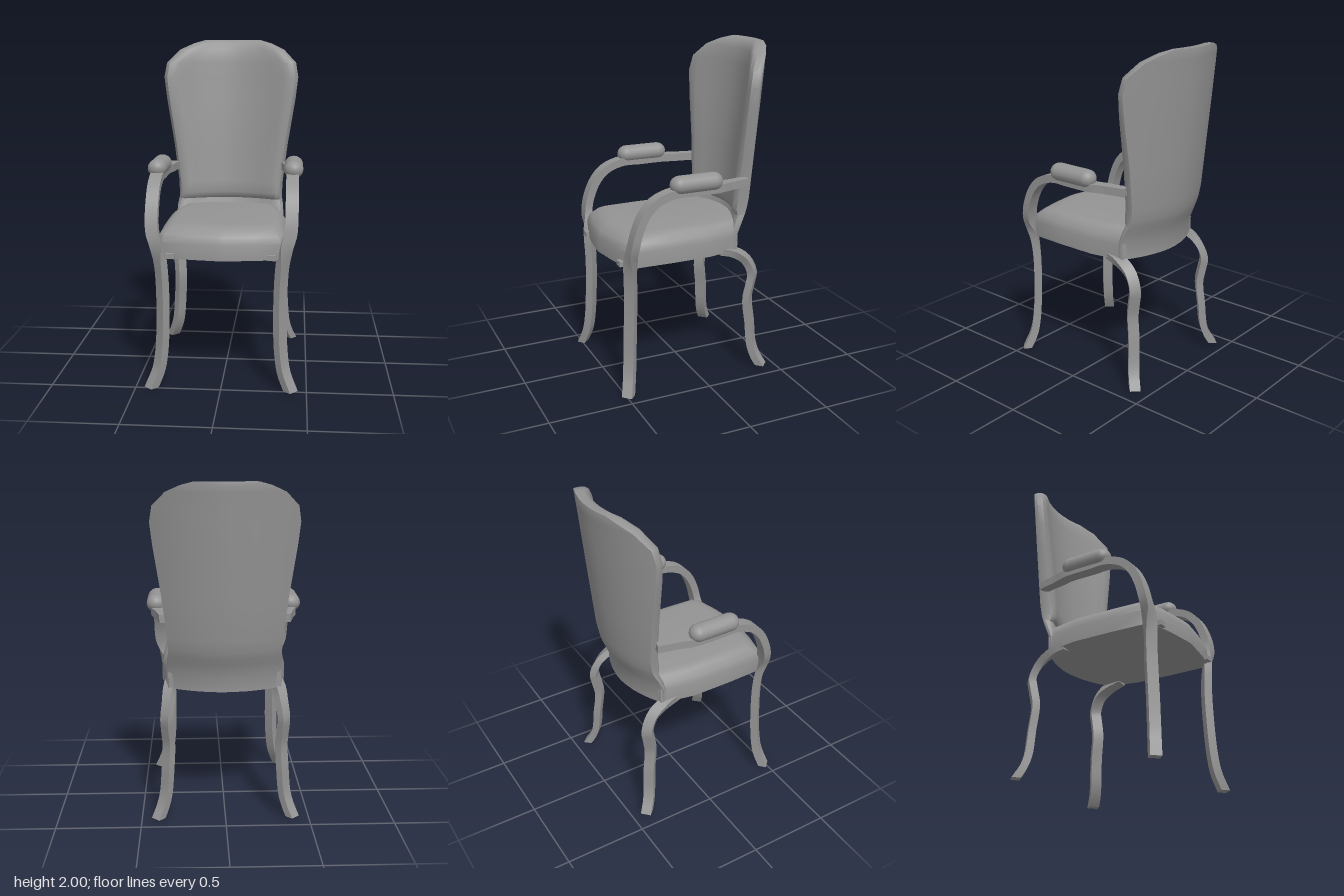
import * as THREE from 'three';
import { toCreasedNormals } from 'three/addons/utils/BufferGeometryUtils.js';

const material = new THREE.MeshStandardMaterial({ color: 0x949494 });

function part(name, geometry) {
  const mesh = new THREE.Mesh(geometry, material);
  mesh.name = name;
  return mesh;
}

// Solid skin over equal-length rings, closed with a strip of faces at each end
function loft(rings) {
  const n = rings[0].length;
  const index = [];
  for (let r = 0; r < rings.length - 1; r++) {
    for (let i = 0; i < n; i++) {
      const a = r * n + i, b = r * n + (i + 1) % n;
      index.push(a, b, b + n, a, b + n, a + n);
    }
  }
  const top = (rings.length - 1) * n;
  for (let i = 0; i < n / 2 - 1; i++) {
    const a = i, b = i + 1, c = n - 2 - i, d = n - 1 - i;
    index.push(a, c, b, a, d, c);
    index.push(top + a, top + b, top + c, top + a, top + c, top + d);
  }
  const geometry = new THREE.BufferGeometry();
  geometry.setAttribute('position', new THREE.Float32BufferAttribute(rings.flat(2), 3));
  geometry.setIndex(index);
  return toCreasedNormals(geometry, 0.7);
}

// Rectangular bar along a smooth path that ends in a foot cut level with the floor;
// sideAt gives the width direction and widthAt the width along the path
function sweep(points, sideAt, widthAt, thickness, steps) {
  const curve = new THREE.CatmullRomCurve3(points.map((p) => new THREE.Vector3(...p)));
  const rings = [];
  for (let i = 0; i <= steps; i++) {
    const t = i / steps;
    const p = curve.getPoint(t), tangent = curve.getTangent(t), side = sideAt(t);
    const s = side.addScaledVector(tangent, -side.dot(tangent)).normalize();
    const n = tangent.clone().cross(s);
    const w = widthAt(t) / 2, h = thickness / 2;
    rings.push([[-w, -h], [w, -h], [w, h], [-w, h]].map(([a, b]) => {
      const q = p.clone().addScaledVector(s, a).addScaledVector(n, b);
      if (i === steps) q.addScaledVector(tangent, (p.y - q.y) / tangent.y);
      return q.toArray();
    }));
  }
  return loft(rings);
}

// Padded seat: half outline mirrored, drawn in towards the top
function seat() {
  const half = [[0.02, 0.512], [0.2, 0.487], [0.34, 0.455], [0.368, 0.42], [0.375, 0.2],
    [0.375, -0.05], [0.335, -0.26], [0.18, -0.31], [0.02, -0.34]];
  const outline = [...half.map(([x, z]) => [-x, z]).reverse(), ...half];
  const layers = [[0.778, 1], [0.87, 1], [0.91, 0.97], [0.945, 0.885], [0.957, 0.82], [0.962, 0.74]];
  return loft(layers.map(([y, s]) => outline.map(([x, z]) => [x * s, y, z > 0 ? z * s : z])));
}

// Curved back: rows of [height, half width, rear z at the centre, padding depth]
function backrest() {
  const rows = [
    [0.778, 0.338, -0.355, 0.06], [0.87, 0.345, -0.358, 0.06], [0.95, 0.342, -0.392, 0.065],
    [0.99, 0.335, -0.408, 0.07], [1.0, 0.333, -0.412, 0.085], [1.03, 0.333, -0.422, 0.105],
    [1.1, 0.336, -0.436, 0.11], [1.34, 0.365, -0.461, 0.11], [1.5, 0.39, -0.478, 0.108],
    [1.64, 0.412, -0.493, 0.105], [1.77, 0.427, -0.506, 0.1], [1.86, 0.412, -0.515, 0.1],
    [1.94, 0.335, -0.523, 0.095], [1.98, 0.25, -0.528, 0.08], [2.0, 0.18, -0.525, 0.045],
  ];
  const half = [[0.15, 1], [0.4, 1], [0.62, 1], [0.78, 1], [0.87, 0.9], [0.95, 0.65], [1, 0.22]];
  const across = [...half.map(([u, d]) => [-u, d]).reverse(), [0, 1], ...half];
  return loft(rows.map(([y, w, z, depth]) => {
    const point = (u, d) => [u * w, y, z + 0.93 * (u * w) ** 2 + d * depth];
    return [...across.map(([u, d]) => point(u, d)),
      ...across.map(([u]) => point(u, 0)).reverse()];
  }));
}

// Paths for the model's left side; each arm runs on down into the front leg
const armAndLegPath = [[0.352, 1.208, -0.3], [0.368, 1.208, -0.23], [0.378, 1.208, -0.17],
  [0.4, 1.208, -0.08], [0.402, 1.208, 0.08], [0.402, 1.208, 0.2], [0.402, 1.168, 0.31],
  [0.402, 1.1, 0.375], [0.402, 1.0, 0.42], [0.396, 0.92, 0.438], [0.37, 0.84, 0.445],
  [0.353, 0.75, 0.443], [0.343, 0.6, 0.438], [0.342, 0.35, 0.445], [0.351, 0.2, 0.453],
  [0.368, 0.1, 0.464], [0.408, 0.0, 0.488]];
const rearLegPath = [[0.32, 0.79, -0.15], [0.33, 0.765, -0.24], [0.335, 0.71, -0.32],
  [0.345, 0.62, -0.362], [0.342, 0.55, -0.353], [0.335, 0.45, -0.337], [0.342, 0.3, -0.352],
  [0.355, 0.15, -0.362], [0.375, 0.075, -0.38], [0.4, 0.015, -0.408]];

export function createModel() {
  const model = new THREE.Group();
  model.name = 'armchair';
  model.add(part('seat', seat()), part('backrest', backrest()));

  for (const [label, s] of [['left', 1], ['right', -1]]) {
    const mirror = (path) => path.map(([x, y, z]) => [s * x, y, z]);

    // Flat arm, narrower at the back, turning to the diagonal as it becomes the front leg
    const armSide = (t) => new THREE.Vector3(s, 0, -THREE.MathUtils.smoothstep(t, 0.58, 0.72));
    const armWidth = (t) => 0.058 + 0.016 * THREE.MathUtils.smoothstep(t, 0.05, 0.25)
      - 0.01 * THREE.MathUtils.smoothstep(t, 0.58, 0.7);
    model.add(part(`${label}ArmAndFrontLeg`,
      sweep(mirror(armAndLegPath), armSide, armWidth, 0.048, 56)));

    // Curved rear leg set on the diagonal
    const legSide = () => new THREE.Vector3(s, 0, 1);
    model.add(part(`${label}RearLeg`,
      sweep(mirror(rearLegPath), legSide, () => 0.064, 0.044, 30)));

    // Rounded pad on top of the arm
    const pad = new THREE.CapsuleGeometry(0.056, 0.212, 8, 20).rotateX(Math.PI / 2);
    pad.scale(1.02, 0.95, 1).translate(s * 0.407, 1.253, 0.052);
    model.add(part(`${label}ArmPad`, pad));

    // Small block let into the lower front edge of the seat
    const block = new THREE.BoxGeometry(0.052, 0.03, 0.06).translate(s * 0.29, 0.795, 0.462);
    model.add(part(`${label}SeatBlock`, block));
  }
  return model;
}
